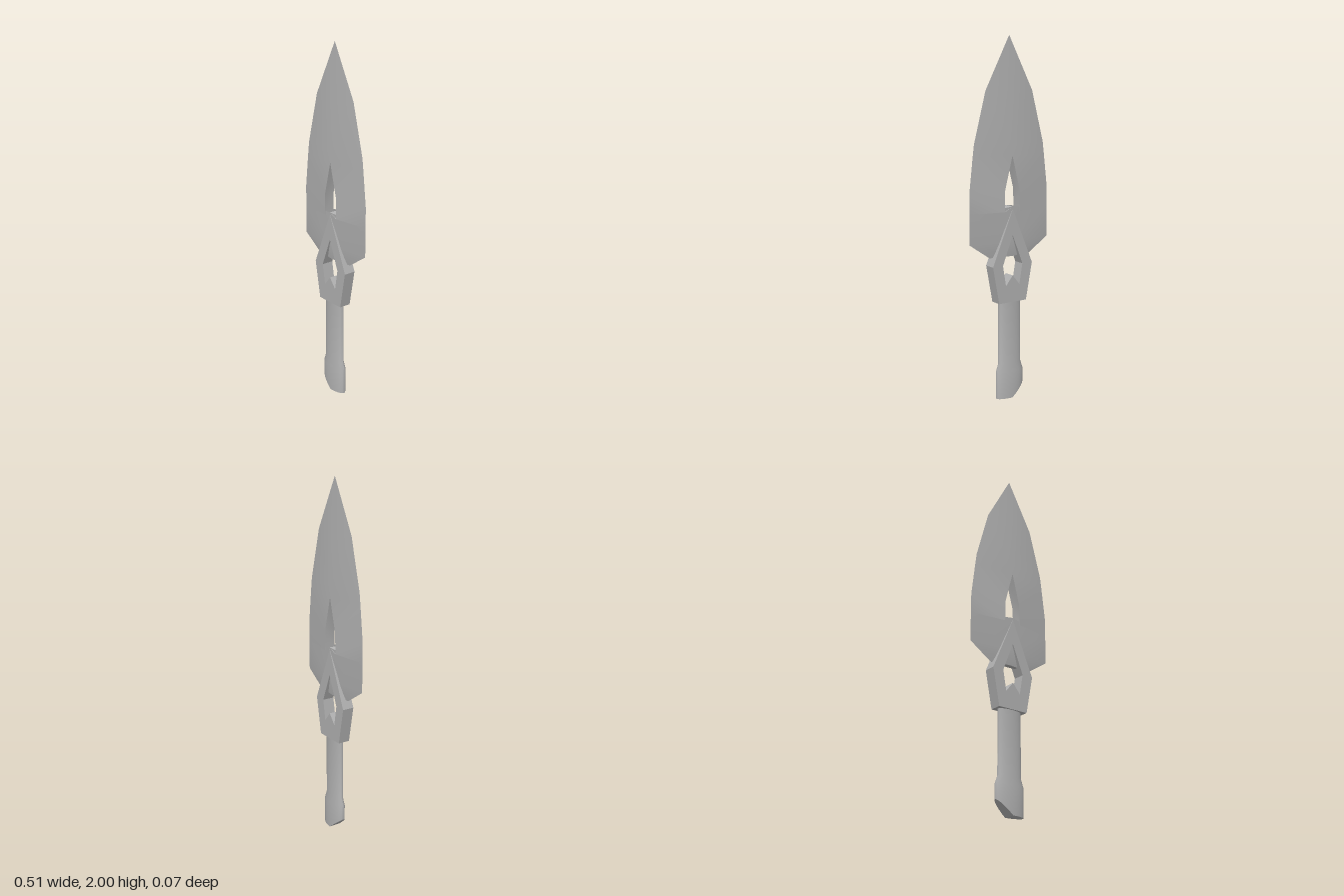
import * as THREE from 'three';
import { toCreasedNormals } from 'three/addons/utils/BufferGeometryUtils.js';

const steel = new THREE.MeshStandardMaterial({ color: 0xb0b0b0 });
steel.name = 'grey steel';

function part(name, geometry) {
  const mesh = new THREE.Mesh(geometry, steel);
  mesh.name = name;
  return mesh;
}

// Blade: sharp outer edge, thick along the middle, with a pointed opening.
// Each row is inner x, inner y, outer x, outer y, half thickness at the inner point.
function bladeGeometry() {
  const rows = [
    [0, 0.81, 0.13, 0.81, 0.016],
    [0, 0.895, 0.257, 0.895, 0.026],
    [0, 1.088, 0.257, 1.06, 0.033],
    [0.05, 1.06, 0.257, 1.06, 0.030],
    [0.047, 1.18, 0.257, 1.17, 0.030],
    [0, 1.365, 0.235, 1.36, 0.031],
    [0, 1.43, 0.226, 1.43, 0.029],
    [0, 1.71, 0.152, 1.71, 0.017],
    [0, 2, 0, 2, 0],
  ];
  const positions = [];
  const triangle = (flip, a, b, c) => {
    const area = new THREE.Triangle(a, b, c).getArea();
    if (area > 1e-7) for (const p of flip ? [a, c, b] : [a, b, c]) positions.push(p.x, p.y, p.z);
  };
  const quad = (flip, a, b, c, d) => {
    triangle(flip, a, b, c);
    triangle(flip, a, c, d);
  };
  for (const sx of [1, -1]) {
    const inner = (r, sz) => new THREE.Vector3(sx * r[0], r[1], sz * r[4]);
    const outer = (r) => new THREE.Vector3(sx * r[2], r[3], 0);
    for (let i = 0; i < rows.length - 1; i++) {
      const r = rows[i], n = rows[i + 1];
      for (const sz of [1, -1]) {
        quad(sx * sz < 0, inner(r, sz), outer(r), outer(n), inner(n, sz));
      }
      // walls of the opening
      if (r[0] > 0 || n[0] > 0) {
        quad(sx < 0, inner(r, 1), inner(n, 1), inner(n, -1), inner(r, -1));
      }
    }
    // blunt lower end
    triangle(sx < 0, inner(rows[0], 1), inner(rows[0], -1), outer(rows[0]));
  }
  const geometry = new THREE.BufferGeometry();
  geometry.setAttribute('position', new THREE.Float32BufferAttribute(positions, 3));
  return toCreasedNormals(geometry, 0.5);
}

// Guard: flat faceted plate with a notched diamond opening.
function guardGeometry() {
  const points = (list) => list.map(([x, y]) => new THREE.Vector2(x, y));
  const shape = new THREE.Shape(points([
    [-0.09, 0.555], [0.09, 0.555], [0.13, 0.765], [0, 1.075], [-0.13, 0.765],
  ]));
  shape.holes.push(new THREE.Path(points([
    [0, 0.93], [-0.065, 0.765], [-0.045, 0.65], [0, 0.705], [0.045, 0.65], [0.065, 0.765],
  ])));
  const depth = 0.068;
  return new THREE.ExtrudeGeometry(shape, { depth, bevelEnabled: false }).translate(0, 0, -depth / 2);
}

// Handle: oval rod that swells into a pommel, cut at a slant on one side.
function handleGeometry() {
  const rings = [[0.57, 0.073, 0.027], [0.2, 0.073, 0.027], [0.155, 0.088, 0.034], [0, 0.088, 0.034]];
  const geometry = new THREE.CylinderGeometry(1, 1, 3, 24, 3);
  const p = geometry.attributes.position;
  for (let i = 0; i < p.count; i++) {
    const k = Math.round(1.5 - p.getY(i));
    const [y, rx, rz] = rings[k];
    const x = p.getX(i) * rx;
    p.setXYZ(i, x, k === 3 ? Math.max(0, -x * 0.85) : y, p.getZ(i) * rz);
  }
  return toCreasedNormals(geometry, 0.7);
}

export function createModel() {
  const model = new THREE.Group();
  model.name = 'dagger';
  model.add(
    part('blade', bladeGeometry()),
    part('guard', guardGeometry()),
    part('handle', handleGeometry()),
  );
  return model;
}
